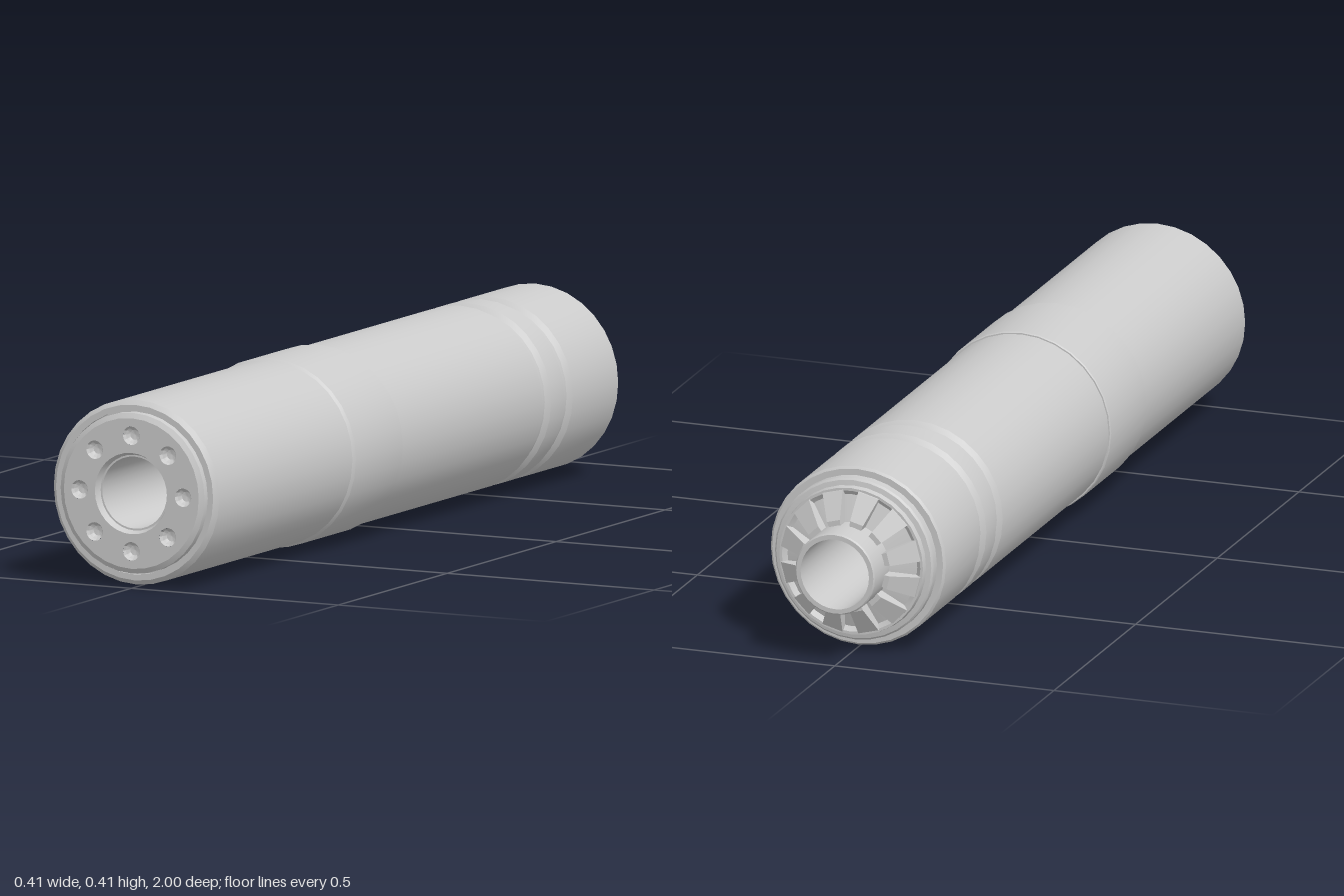
import * as THREE from 'three';
import { toCreasedNormals } from 'three/addons/utils/BufferGeometryUtils.js';

const SIDES = 32;
const AXIS_Y = 0.205;
const BORE = 0.078;

const material = new THREE.MeshStandardMaterial({ color: 0xcccccc });

function mesh(name, geometry) {
  const m = new THREE.Mesh(geometry, material);
  m.name = name;
  return m;
}

// Revolve [radius, z] pairs around the z axis; outer walls run towards +z
function turned(name, profile, sides = SIDES) {
  const points = profile.map(([r, z]) => new THREE.Vector2(r, z));
  const geometry = new THREE.LatheGeometry(points, sides).rotateX(Math.PI / 2);
  return mesh(name, toCreasedNormals(geometry, 0.45));
}

// One tapered rib of the rear crown, standing along +x before being turned
function crownRib() {
  const shape = new THREE.Shape([
    new THREE.Vector2(0.088, -0.89),
    new THREE.Vector2(0.088, -0.938),
    new THREE.Vector2(0.102, -0.938),
    new THREE.Vector2(0.158, -0.904),
    new THREE.Vector2(0.158, -0.89),
  ]);
  const geometry = new THREE.ExtrudeGeometry(shape, { depth: 1, bevelEnabled: false });
  geometry.translate(0, 0, -0.5).rotateX(Math.PI / 2);
  // Widen the rib in proportion to its distance from the axis
  const p = geometry.attributes.position;
  for (let i = 0; i < p.count; i++) p.setY(i, p.getY(i) * p.getX(i) * 0.3);
  return toCreasedNormals(geometry, 0.3);
}

export function createModel() {
  const model = new THREE.Group();
  model.name = 'turnedTube';
  const parts = new THREE.Group();
  parts.name = 'tubeAssembly';
  parts.position.y = AXIS_Y;
  model.add(parts);

  // Main body with two shallow grooves near the rear
  parts.add(turned('body', [
    [0.176, -0.86], [0.195, -0.86], [0.2, -0.855],
    [0.2, -0.647], [0.19, -0.637], [0.19, -0.618], [0.2, -0.608],
    [0.2, -0.547], [0.19, -0.537], [0.19, -0.518], [0.2, -0.508],
    [0.2, 0.976], [0.19, 0.985], [0.177, 0.985], [0.177, 0.975], [0.17, 0.975],
  ]));

  // Raised middle sleeve
  parts.add(turned('sleeve', [
    [0.198, 0.14], [0.203, 0.14], [0.205, 0.143],
    [0.205, 0.358], [0.199, 0.366],
  ]));

  // Front cap: bevelled rim and countersunk bore mouth
  parts.add(turned('frontCapRim', [[0.174, 0.97], [0.174, 0.994], [0.163, 1]]));
  parts.add(turned('boreMouth', [[0.088, 1], [0.082, 0.985], [BORE, 0.985]]));

  // Front face with a ring of dimples
  const face = new THREE.Shape().absarc(0, 0, 0.163, 0, Math.PI * 2);
  face.holes.push(new THREE.Path().absarc(0, 0, 0.088, 0, Math.PI * 2, true));
  const dimples = new THREE.Group();
  dimples.name = 'dimples';
  for (let i = 0; i < 8; i++) {
    const a = (i * Math.PI) / 4;
    const x = 0.125 * Math.cos(a);
    const y = 0.125 * Math.sin(a);
    face.holes.push(new THREE.Path().absarc(x, y, 0.02, 0, Math.PI * 2, true));
    const dimple = turned('dimple', [[0.0205, 0], [0.018, -0.009], [0.011, -0.016], [0, -0.019]], 12);
    dimple.position.set(x, y, 1);
    dimples.add(dimple);
  }
  const faceMesh = mesh('frontFace', new THREE.ShapeGeometry(face, 16));
  faceMesh.position.z = 1;
  parts.add(faceMesh, dimples);

  // Stepped rear cap and the floor beneath the crown ribs
  parts.add(turned('rearCap', [
    [0.085, -0.912], [0.148, -0.892], [0.158, -0.9], [0.164, -0.9],
    [0.166, -0.886], [0.177, -0.884], [0.181, -0.88], [0.181, -0.858],
  ]));

  // Radial crown ribs around the neck
  const crown = new THREE.Group();
  crown.name = 'rearCrown';
  const ribGeometry = crownRib();
  for (let i = 0; i < 12; i++) {
    const rib = mesh('crownRib', ribGeometry);
    rib.rotation.z = ((i + 0.5) * Math.PI) / 6;
    crown.add(rib);
  }
  parts.add(crown);

  // Rear neck and the through bore
  parts.add(turned('neck', [[BORE, -1], [0.088, -1], [0.091, -0.997], [0.091, -0.89]]));
  parts.add(turned('bore', [[BORE, 0.985], [BORE, -1]]));

  return model;
}
